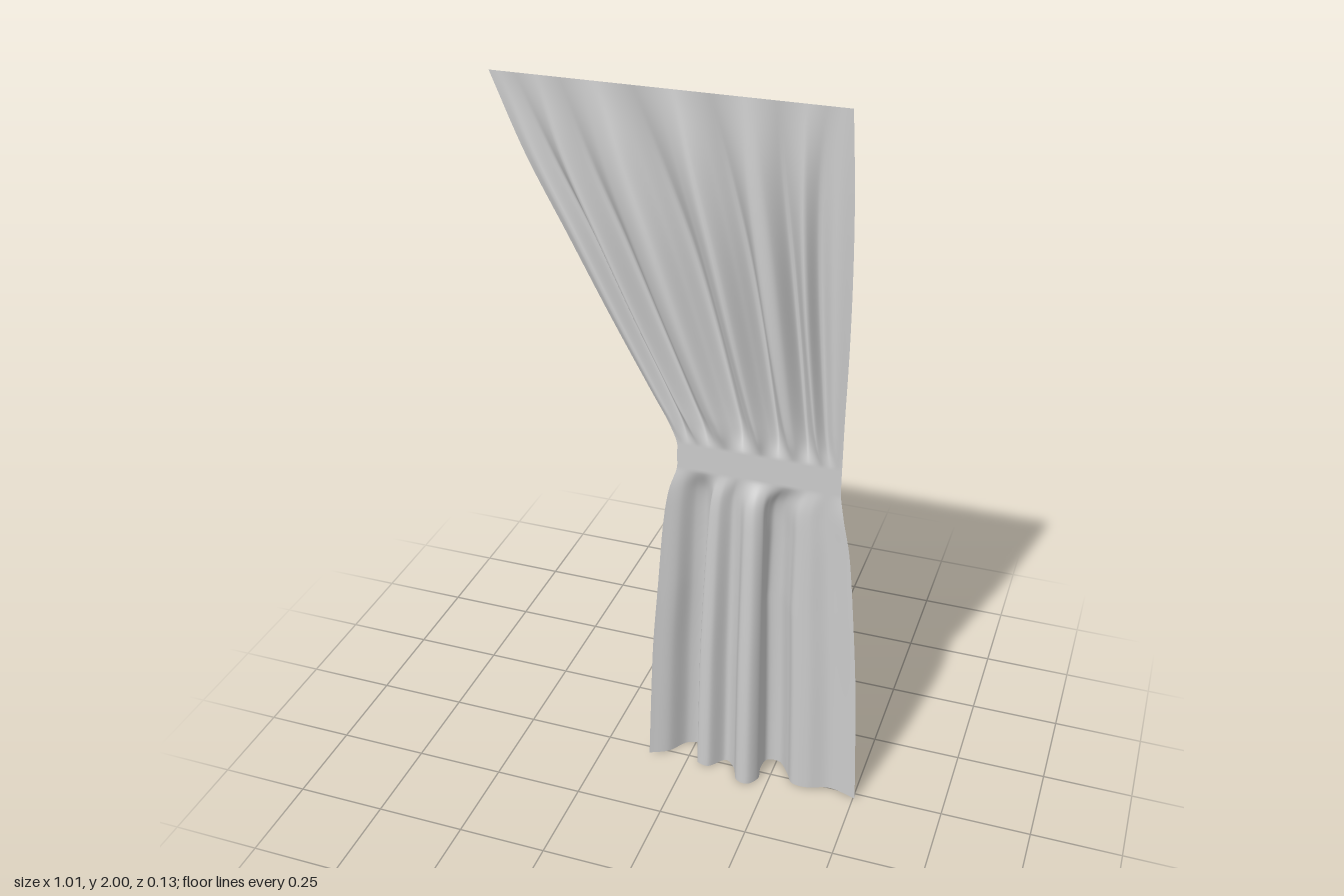
import * as THREE from 'three';

// Outline of the cloth from rail to floor: [height, left edge, right edge, fold depth]
const outline = [
  [2, -0.51, 0.39, 0], [1.8, -0.425, 0.403, 0.03], [1.6, -0.32, 0.41, 0.046],
  [1.4, -0.215, 0.412, 0.047], [1.2, -0.105, 0.41, 0.034], [1.12, -0.06, 0.41, 0.022],
  [1.06, -0.035, 0.41, 0], [1.02, -0.035, 0.41, 0], [0.98, -0.035, 0.411, 0],
  [0.91, -0.055, 0.425, 0.028], [0.8, -0.07, 0.447, 0.04], [0.6, -0.085, 0.468, 0.05],
  [0.4, -0.1, 0.485, 0.058], [0.2, -0.108, 0.496, 0.063], [0, -0.115, 0.505, 0.065],
];

// Fold sections: [position across the width 0..1, offset -1..1 times depth]
const upperFolds = [
  [0, 0], [0.04, 0.3], [0.085, -0.5], [0.13, 0.5], [0.19, -0.65], [0.25, 0.35], [0.32, 0.75],
  [0.38, -0.2], [0.43, -0.95], [0.49, 0.2], [0.54, 0.85], [0.59, -0.2], [0.63, -0.9],
  [0.69, 0.6], [0.73, 0.5], [0.78, -0.8], [0.84, 0.5], [0.88, -0.4], [0.94, 0.15], [1, 0],
];
const lowerFolds = [
  [0, 0.4], [0.08, 0], [0.15, -0.85], [0.21, -0.95], [0.245, -0.4], [0.235, 0.25], [0.29, 0.4],
  [0.36, -0.25], [0.41, 0.1], [0.45, 0.85], [0.5, 0.95], [0.54, 0.45], [0.53, -0.3],
  [0.545, -0.9], [0.6, -0.95], [0.66, -0.3], [0.7, 0.25], [0.77, 0.3], [0.87, 0], [1, 0.3],
];

const spline = (points, type) => new THREE.CatmullRomCurve3(points, false, type, 0.5);
const section = (rows, n) =>
  spline(rows.map(([u, z]) => new THREE.Vector3(u, z * 0.12, 0)), 'centripetal').getSpacedPoints(n);

function createCloth(columns, rows) {
  const leftEdge = spline(outline.map(([y, l, , d]) => new THREE.Vector3(l, y, d)), 'catmullrom');
  const rightEdge = spline(outline.map(([y, , r]) => new THREE.Vector3(r, y, 0)), 'catmullrom');
  const upper = section(upperFolds, columns);
  const lower = section(lowerFolds, columns);

  const geometry = new THREE.PlaneGeometry(1, 1, columns, rows);
  const position = geometry.attributes.position;
  for (let j = 0; j <= rows; j++) {
    const left = leftEdge.getPoint(j / rows);
    const right = rightEdge.getPoint(j / rows).x;
    const y = left.y;
    // Cloth lies flat at the rail and at the gathered waist
    const depth = y > 0.98 && y < 1.06 ? 0 : Math.max(0, left.z);
    const folds = y > 1.02 ? upper : lower;
    const blend = Math.min(1, depth / 0.05);
    for (let i = 0; i <= columns; i++) {
      const fold = folds[i];
      const u = THREE.MathUtils.lerp(i / columns, fold.x, blend);
      const x = THREE.MathUtils.lerp(left.x, right, u);
      position.setXYZ(j * (columns + 1) + i, x, y, (fold.y / 0.12) * depth);
    }
  }
  geometry.computeVertexNormals();
  return geometry;
}

export function createModel() {
  const group = new THREE.Group();
  group.name = 'tiedCurtain';
  const material = new THREE.MeshStandardMaterial({ color: 0xcccccc, side: THREE.DoubleSide });
  const cloth = new THREE.Mesh(createCloth(180, 112), material);
  cloth.name = 'curtainCloth';
  group.add(cloth);
  return group;
}
